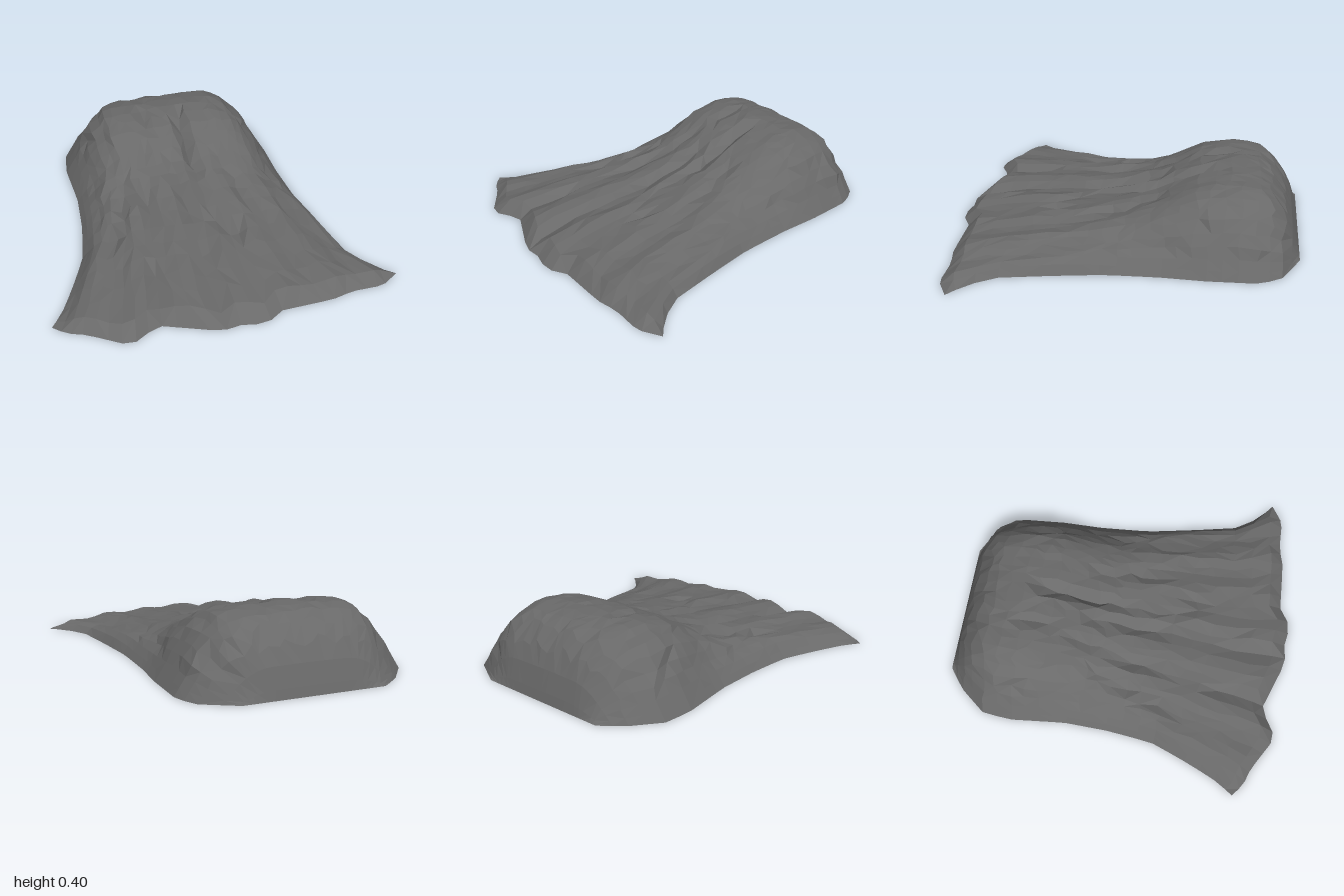
import * as THREE from 'three';

// piecewise-linear lookup through [key, value] pairs
function lerpTable(table, k) {
  if (k <= table[0][0]) return table[0][1];
  for (let i = 1; i < table.length; i++) {
    const [a, va] = table[i - 1], [b, vb] = table[i];
    if (k <= b) return va + (vb - va) * (k - a) / (b - a);
  }
  return table[table.length - 1][1];
}

// plan outline: side x by z, front rim z by x
const rightRim = [[-1, -0.44], [-0.98, -0.47], [-0.91, -0.56], [-0.76, -0.68], [-0.6, -0.7], [-0.27, -0.67], [0, -0.68], [0.24, -0.71], [0.48, -0.8], [0.82, -0.94]];
const leftRim = [[-1, 0.34], [-0.98, 0.38], [-0.9, 0.53], [-0.79, 0.6], [-0.5, 0.62], [-0.25, 0.62], [0.05, 0.64], [0.3, 0.69], [0.56, 0.75], [0.82, 0.94]];
const frontRim = [[-0.94, 0.75], [-0.87, 0.81], [-0.78, 0.84], [-0.6, 0.95], [-0.53, 0.95], [-0.42, 0.87], [-0.1, 0.99], [-0.02, 0.97], [0.14, 1], [0.21, 0.93], [0.53, 0.92], [0.65, 0.89], [0.83, 0.89], [0.94, 0.82]];
// crest height along z, and cross-section shapes of the hump and the apron
const crest = [[-1, 0], [-0.98, 0.07], [-0.95, 0.16], [-0.9, 0.26], [-0.8, 0.365], [-0.7, 0.388], [-0.6, 0.395], [-0.5, 0.385], [-0.4, 0.36], [-0.13, 0.24], [0, 0.205], [0.3, 0.155], [0.6, 0.12], [0.92, 0.075], [1, 0.06]];
const hump = [[0, 1], [0.47, 0.98], [0.6, 0.9], [0.71, 0.74], [0.85, 0.4], [1, 0]];
const apron = [[0, 1], [0.3, 0.97], [0.6, 0.85], [0.8, 0.68], [0.93, 0.48], [1, 0]];
// erosion cracks: x0, z0, x1, z1, depth
const cracks = [
  [0.01, -0.48, 0.03, -0.12, 0.06], [0.03, -0.12, 0.04, 0.35, 0.025], [-0.2, -0.6, -0.19, -0.45, 0.02],
  [-0.25, -0.3, -0.31, 0.22, 0.03], [-0.39, -0.13, -0.53, 0.27, 0.03], [-0.1, -0.18, -0.07, 0.18, 0.03],
  [0.19, -0.2, 0.3, 0.22, 0.025], [0.13, 0.33, 0.28, 0.7, 0.025], [-0.36, 0.55, -0.42, 0.87, 0.03],
  [-0.03, 0.2, -0.1, 0.95, 0.03],
];

function crackDepth(x, z) {
  let d = 0;
  for (const [x0, z0, x1, z1, depth] of cracks) {
    const dx = x1 - x0, dz = z1 - z0;
    const t = THREE.MathUtils.clamp(((x - x0) * dx + (z - z0) * dz) / (dx * dx + dz * dz), 0, 1);
    const r = Math.hypot(x - x0 - t * dx, z - z0 - t * dz);
    d = Math.max(d, depth * Math.max(0, 1 - r / 0.05));
  }
  return d;
}

function buildMound() {
  let seed = 7;
  const jitter = (a) => {
    seed = (seed * 16807) % 2147483647;
    return (seed / 2147483647 - 0.5) * 2 * a;
  };
  const rows = [-1, -0.985, -0.95, -0.9, -0.83, -0.76, -0.67, -0.58, -0.5, -0.42, -0.34, -0.26, -0.18, -0.1, -0.02, 0.07, 0.16, 0.25, 0.35, 0.45, 0.55, 0.65, 0.75, 0.82];
  const cols = 28, positions = [], indices = [];
  rows.forEach((row, j) => {
    for (let i = 0; i <= cols; i++) {
      const k = (i / cols) * 2 - 1;
      const u = k * (1.2 - 0.2 * k * k);
      const rim = j === 0 || j === rows.length - 1 || i === 0 || i === cols;
      let x = THREE.MathUtils.lerp(lerpTable(rightRim, row), lerpTable(leftRim, row), (u + 1) / 2);
      const stretch = Math.max(0, (row - 0.1) / 0.72);
      let z = row + (lerpTable(frontRim, x) - 0.82) * stretch;
      let y = 0;
      if (!rim) {
        const loose = Math.abs(k) < 0.85 && j > 2 && j < rows.length - 2;
        if (loose) { x += jitter(0.014); z += jitter(0.02); }
        const blend = THREE.MathUtils.smoothstep(z, -0.35, 0.4);
        const a = Math.abs(u);
        const shape = THREE.MathUtils.lerp(lerpTable(hump, a), lerpTable(apron, a), blend);
        y = lerpTable(crest, z) * shape;
        // folds fanning out toward the front
        const fan = x / (0.6 + 0.35 * Math.max(0, z));
        y += blend * 0.01 * (Math.sin(fan * 21 + 1) - 0.6);
        if (z > 0.2) y = Math.min(y, 0.31 * (0.96 - Math.abs(x)));
        y -= crackDepth(x, z);
        if (loose) y += jitter(0.004);
        y = Math.max(y, 0.006);
      }
      positions.push(x, y, z);
    }
  });
  const w = cols + 1;
  for (let j = 0; j < rows.length - 1; j++) {
    for (let i = 0; i < cols; i++) {
      const a = j * w + i, b = a + w;
      if ((i * 3 + j) % 4 < 2) indices.push(a, b, a + 1, a + 1, b, b + 1);
      else indices.push(a, b, b + 1, a, b + 1, a + 1);
    }
  }
  const g = new THREE.BufferGeometry();
  g.setAttribute('position', new THREE.Float32BufferAttribute(positions, 3));
  g.setIndex(indices);
  const flat = g.toNonIndexed();
  flat.computeVertexNormals();
  return flat;
}

export function createModel() {
  const group = new THREE.Group();
  group.name = 'rockMound';
  const rock = new THREE.MeshStandardMaterial({ color: 0x696969, flatShading: true, side: THREE.DoubleSide });
  rock.name = 'rock grey';
  // open-bottomed rock shell: rounded hump at the back, eroded apron in front
  const mound = new THREE.Mesh(buildMound(), rock);
  mound.name = 'rockShell';
  group.add(mound);
  return group;
}
